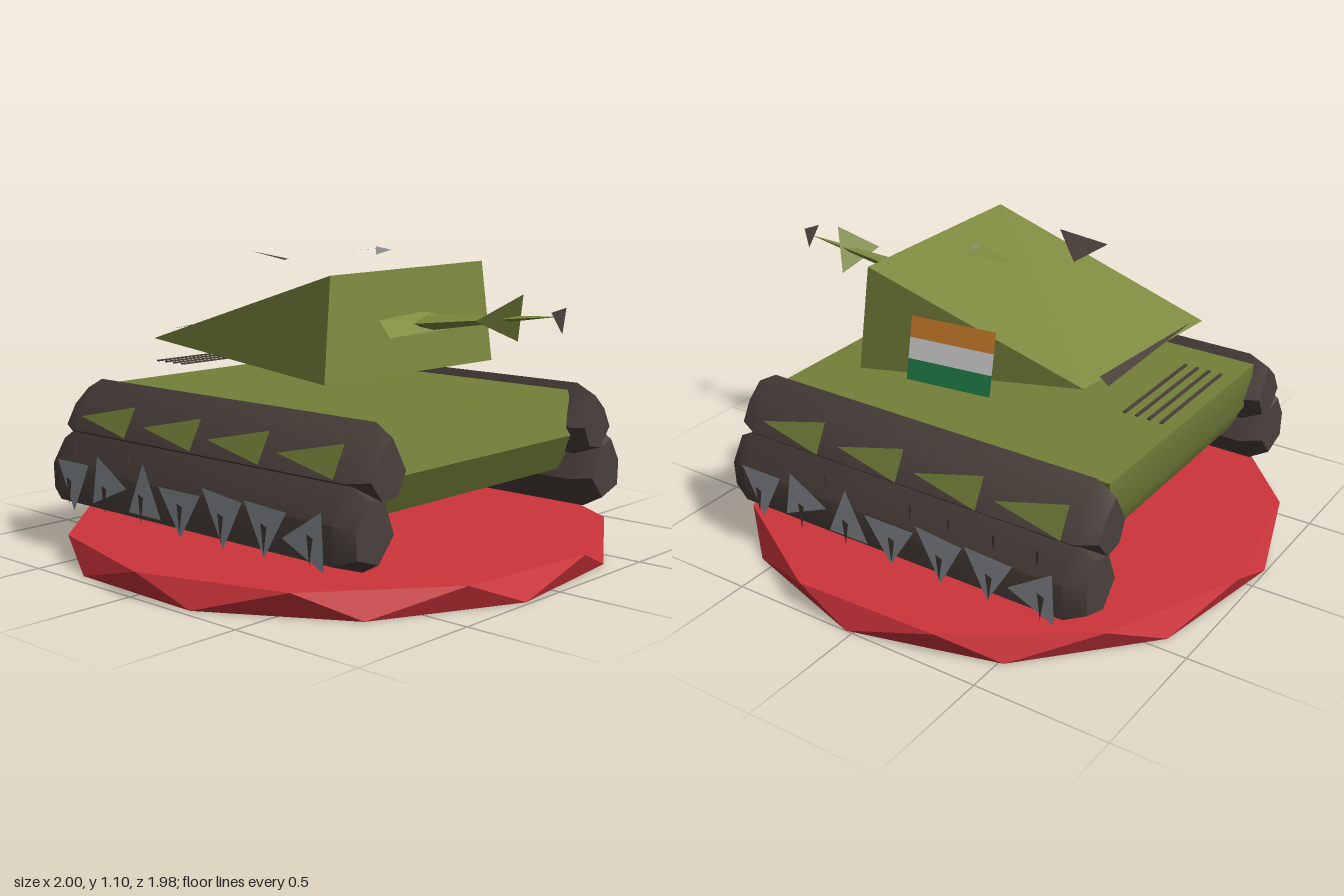
import * as THREE from 'three';
import { ConvexGeometry } from 'three/addons/geometries/ConvexGeometry.js';
import { toCreasedNormals } from 'three/addons/utils/BufferGeometryUtils.js';

const paint = (name, color, side = THREE.DoubleSide) => {
  const m = new THREE.MeshStandardMaterial({ color, side });
  m.name = name;
  return m;
};

export function createModel() {
  const olive = paint('hull olive', 0x74803a);
  const light = paint('turret olive', 0x7f8b40);
  const dark = paint('track brown', 0x4a403b);
  const silver = paint('steel', 0x9a9fa5);
  const red = paint('base red', 0xcd343b);
  const orange = paint('orange', 0xd4822e);
  const white = paint('white', 0xdadada);
  const green = paint('green', 0x20824a);

  const model = new THREE.Group();
  const add = (parent, name, geometry, material) => {
    const mesh = new THREE.Mesh(geometry, material);
    mesh.name = name;
    parent.add(mesh);
    return mesh;
  };

  // Faceted solid around a handful of corners
  const solid = (parent, name, material, points, crease = 0) => {
    let g = new ConvexGeometry(points.map((p) => new THREE.Vector3(...p)));
    if (crease) g = toCreasedNormals(g, crease);
    return add(parent, name, g, material);
  };

  // Thin triangular or four-cornered plate
  const plate = (parent, name, material, ...corners) => {
    const order = corners.length === 4 ? [0, 1, 2, 0, 2, 3] : [0, 1, 2];
    const g = new THREE.BufferGeometry();
    g.setAttribute('position', new THREE.Float32BufferAttribute(order.flatMap((i) => corners[i]), 3));
    g.computeVertexNormals();
    return add(parent, name, g, material);
  };

  // Round base with a zigzag rim
  const rim = [];
  for (let i = 0; i < 11; i++) {
    const step = (i * Math.PI * 2) / 11;
    [[0, -0.17], [0.09, 0.17]].forEach(([y, a]) =>
      rim.push([1.01 * Math.sin(step + a), y, 1.01 * Math.cos(step + a)]));
  }
  solid(model, 'base', red, rim).scale.set(0.99, 1, 0.99);

  // Hull, cross-section across z repeated at both sides
  const hull = [];
  for (const x of [-0.53, 0.53]) {
    for (const [z, y] of [[0.66, 0.58], [0.7, 0.42], [0.62, 0.28], [-0.62, 0.28], [-0.7, 0.42], [-0.71, 0.58]]) {
      hull.push([x, y, z]);
    }
  }
  solid(model, 'hull', olive, hull, 0.7);

  // Engine vents behind the turret
  for (let i = 0; i < 4; i++) {
    add(model, 'vent', new THREE.BoxGeometry(0.45, 0.005, 0.012), dark)
      .position.set(-0.045, 0.643, -0.7 + i * 0.047);
  }

  // Track band: a diamond section along z, narrowed at the ends
  const band = (parent, name, section, cx, cy) => {
    const pts = [];
    for (const [z, s] of [[-0.755, 0.72], [-0.68, 1], [0.68, 1], [0.755, 0.72]]) {
      for (const [x, y] of section) pts.push([cx + (x - cx) * s, cy + (y - cy) * s, z]);
    }
    solid(parent, name, dark, pts, 0.6);
  };

  // Wheel plates as three [z, y] corners
  const wheels = [
    [[0.67, 0.335], [0.49, 0.335], [0.58, 0.155]],
    [[0.44, 0.375], [0.28, 0.28], [0.47, 0.2]],
    [[0.19, 0.385], [0.1, 0.2], [0.27, 0.2]],
    [[0.11, 0.315], [-0.1, 0.315], [0, 0.155]],
    [[-0.11, 0.345], [-0.3, 0.325], [-0.21, 0.155]],
    [[-0.31, 0.335], [-0.5, 0.325], [-0.4, 0.16]],
    [[-0.65, 0.35], [-0.48, 0.24], [-0.66, 0.16]],
  ];

  // Both running gears, the second turned half way round
  for (const side of ['left', 'right']) {
    const gear = new THREE.Group();
    gear.name = side + 'RunningGear';
    gear.rotation.y = side === 'left' ? 0 : Math.PI;
    model.add(gear);

    band(gear, 'upperTrack',
      [[0.56, 0.605], [0.645, 0.53], [0.7, 0.43], [0.62, 0.33], [0.52, 0.35], [0.47, 0.45]], 0.585, 0.46);
    band(gear, 'lowerTrack',
      [[0.69, 0.43], [0.765, 0.31], [0.76, 0.18], [0.62, 0.134], [0.52, 0.25], [0.58, 0.4]], 0.66, 0.28);

    // Side skirt plates
    for (const z of [0.636, 0.29, -0.04, -0.37]) {
      plate(gear, 'skirtPlate', olive,
        [0.69, 0.485, z], [0.715, 0.44, z - 0.27], [0.66, 0.545, z - 0.27]);
    }

    // Wheels with a dark hub sliver each
    wheels.forEach((corners, i) => {
      plate(gear, 'wheel', silver, ...corners.map(([z, y]) => [0.778, y, z]));
      const z = (0.58 - i * 0.2);
      plate(gear, 'hub', dark, [0.8, 0.28, z + 0.012], [0.8, 0.18, z], [0.8, 0.27, z - 0.015]);
    });

    // Return rollers poking out above the wheels
    for (const z of [0.61, 0.31, -0.06, -0.22, -0.4, -0.57]) {
      plate(gear, 'roller', dark, [0.71, 0.37, z + 0.03], [0.76, 0.4, z - 0.02], [0.755, 0.34, z - 0.01]);
    }
  }

  // Wedge turret
  solid(model, 'turret', light, [
    [-0.42, 1.035, 0.355], [0.4, 1.045, 0.355], [0.45, 0.672, 0.37], [-0.465, 0.677, 0.37],
    [0.43, 0.83, -0.545], [-0.42, 0.757, -0.54],
  ]);
  plate(model, 'turretRearRail', dark, [-0.33, 0.785, -0.54], [0.34, 0.815, -0.585], [0.33, 0.835, -0.545]);

  // Roof hatches
  plate(model, 'hatch', dark, [-0.17, 1.08, -0.275], [-0.25, 1.062, -0.025], [-0.03, 1.047, -0.22]);
  plate(model, 'cupola', light, [0.155, 1.075, -0.085], [0.095, 1.09, 0.08], [0.22, 1.09, 0.08]);
  plate(model, 'periscope', silver, [0.115, 1.1, 0.085], [0.115, 1.068, 0.085], [0.2, 1.083, 0.085]);

  // Gun
  solid(model, 'mantlet', light, [
    [-0.205, 0.815, 0.43], [-0.18, 0.87, 0.36], [0.05, 0.885, 0.37],
    [0.17, 0.845, 0.47], [0.17, 0.84, 0.36], [0.04, 0.825, 0.46],
  ]);
  solid(model, 'barrel', light, [
    [-0.08, 0.855, 0.43], [0.05, 0.875, 0.39], [0, 0.825, 0.43], [0, 0.912, 0.975],
  ]);
  plate(model, 'barrelSleeve', light, [-0.1, 0.885, 0.71], [0.05, 0.81, 0.775], [0, 0.975, 0.83]);
  plate(model, 'muzzle', dark, [-0.065, 0.93, 0.985], [0, 0.855, 0.985], [0.02, 0.94, 0.985]);

  // Tilted three-stripe flag
  const edge = (t, z) => [(z > 0 ? 0.505 : 0.467) + 0.042 * t, 0.965 - 0.22 * t, z];
  [orange, white, green].forEach((m, i) => {
    const a = i / 3, b = (i + 1) / 3;
    plate(model, 'flagStripe', m, edge(a, 0.085), edge(b, 0.085), edge(b, -0.23), edge(a, -0.23));
  });

  return model;
}
